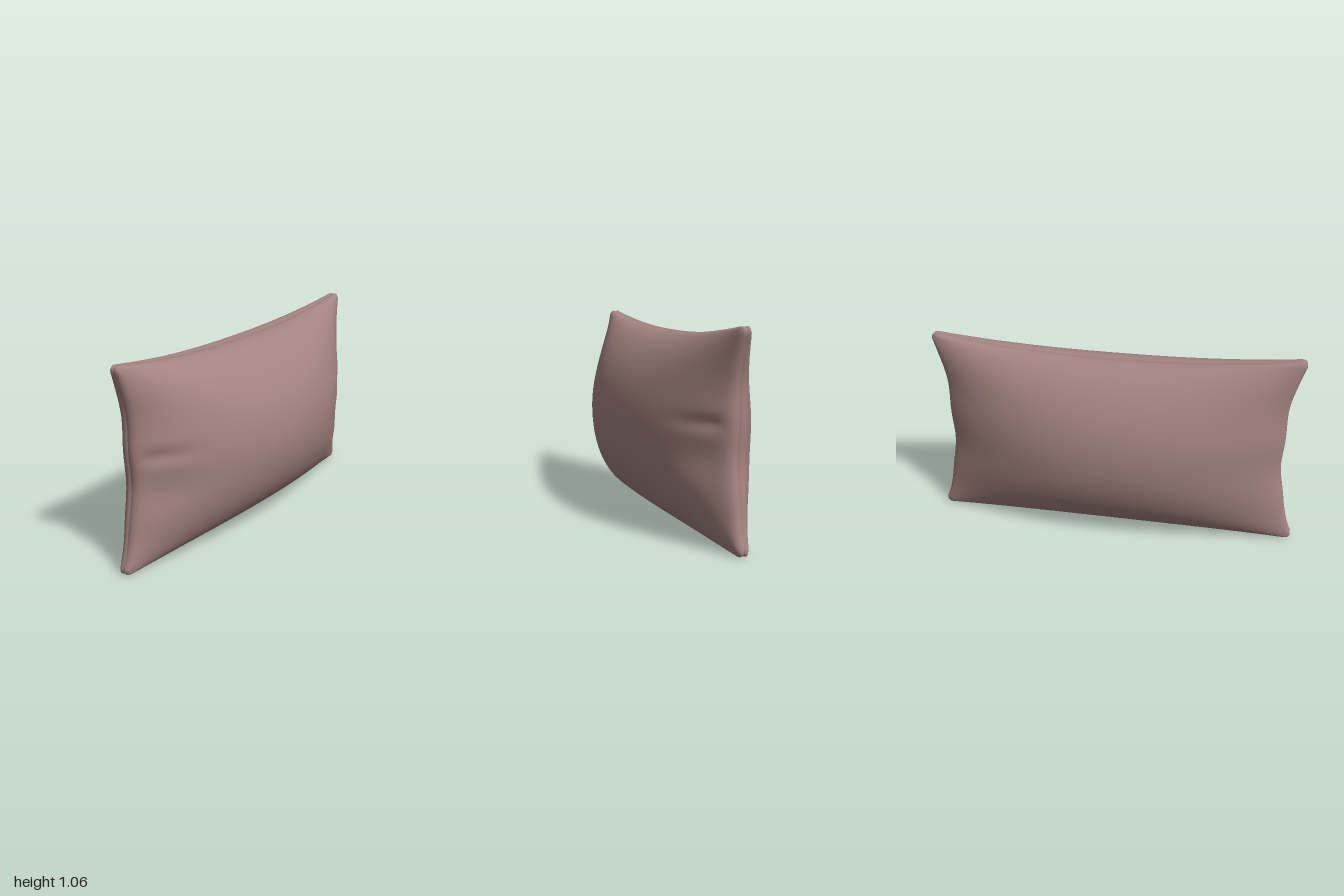
import * as THREE from 'three';

const SEAM_Z = -0.035;
const N = 72;

// Soft dents in the front panel: centre x, centre y, radius x, radius y, depth
const DENTS = [
  [-0.86, 0.6, 0.16, 0.035, 0.022], [0.86, 0.61, 0.16, 0.035, 0.022],
  [-0.8, 0.42, 0.14, 0.1, 0.012], [0.8, 0.45, 0.14, 0.1, 0.012],
];

// Square grid coordinate to one with rounded corners
function roundCorner(u, v) {
  const rx = 0.05, ry = 0.09;
  const du = (Math.abs(u) - 1 + rx) / rx, dv = (Math.abs(v) - 1 + ry) / ry;
  if (du <= 0 || dv <= 0) return [u, v];
  const k = Math.max(du, dv) / Math.hypot(du, dv);
  return [Math.sign(u) * (1 - rx + rx * du * k), Math.sign(v) * (1 - ry + ry * dv * k)];
}

// A point of one panel; side is 1 for the front, -1 for the back
function panelPoint(a, b, side) {
  const [u, v] = roundCorner(a, b);
  // Pinched outline: edges curve inward between the four corners
  const width = 0.912 + 0.096 * Math.abs(v) ** 2.5 + 0.006 * Math.sin(v * 9) * (1 - v * v);
  const top = 1.0 + 0.076 * Math.abs(u) ** 2.2;
  const bottom = 0.04 - 0.041 * u * u;
  // Rolled lip beside the seam
  const edge = Math.min((1 - Math.abs(a)) * 0.95, (1 - Math.abs(b)) * 0.52);
  const t = Math.min(1, edge / 0.022);
  const roll = Math.sqrt(1 - (1 - t) ** 2);
  const groove = 0.008 * Math.max(0, 1 - roll * 1.6);
  const x = u * (width - groove);
  const y = THREE.MathUtils.lerp(bottom, top, (v + 1) / 2) - v * groove;
  // Stuffed bulge
  const across = (1 - Math.abs(a) ** 2.1) ** (side > 0 ? 0.74 : 0.8);
  const up = (1 - b * b) ** (side > 0 ? 0.56 : 0.62);
  let depth = 0.022 * roll + (side > 0 ? 0.343 : 0.273) * across * up;
  if (side > 0) {
    for (const [cx, cy, rx, ry, d] of DENTS) {
      depth -= d * t * Math.min(1, edge / 0.08) * Math.exp(-(((x - cx) / rx) ** 2) - ((y - cy) / ry) ** 2);
    }
  }
  return [x, y, SEAM_Z + side * depth];
}

function panelGeometry(side) {
  const positions = [], index = [];
  // Grid lines crowd towards the edges, where the shape turns fastest
  const spread = (i) => Math.sin((i / N - 0.5) * Math.PI);
  for (let j = 0; j <= N; j++) {
    for (let i = 0; i <= N; i++) positions.push(...panelPoint(spread(i), spread(j), side));
  }
  for (let j = 0; j < N; j++) {
    for (let i = 0; i < N; i++) {
      const p = j * (N + 1) + i, q = p + 1, r = p + N + 1, s = r + 1;
      if (side > 0) index.push(p, q, s, p, s, r);
      else index.push(p, s, q, p, r, s);
    }
  }
  const geometry = new THREE.BufferGeometry();
  geometry.setAttribute('position', new THREE.Float32BufferAttribute(positions, 3));
  geometry.setIndex(index);
  geometry.computeVertexNormals();
  return geometry;
}

export function createModel() {
  const group = new THREE.Group();
  group.name = 'pillow';
  const fabric = new THREE.MeshStandardMaterial({ color: 0xa3837f });
  fabric.name = 'dusty rose fabric';
  // Two panels meeting in a grooved seam
  for (const [name, side] of [['frontPanel', 1], ['backPanel', -1]]) {
    const mesh = new THREE.Mesh(panelGeometry(side), fabric);
    mesh.name = name;
    group.add(mesh);
  }
  return group;
}
